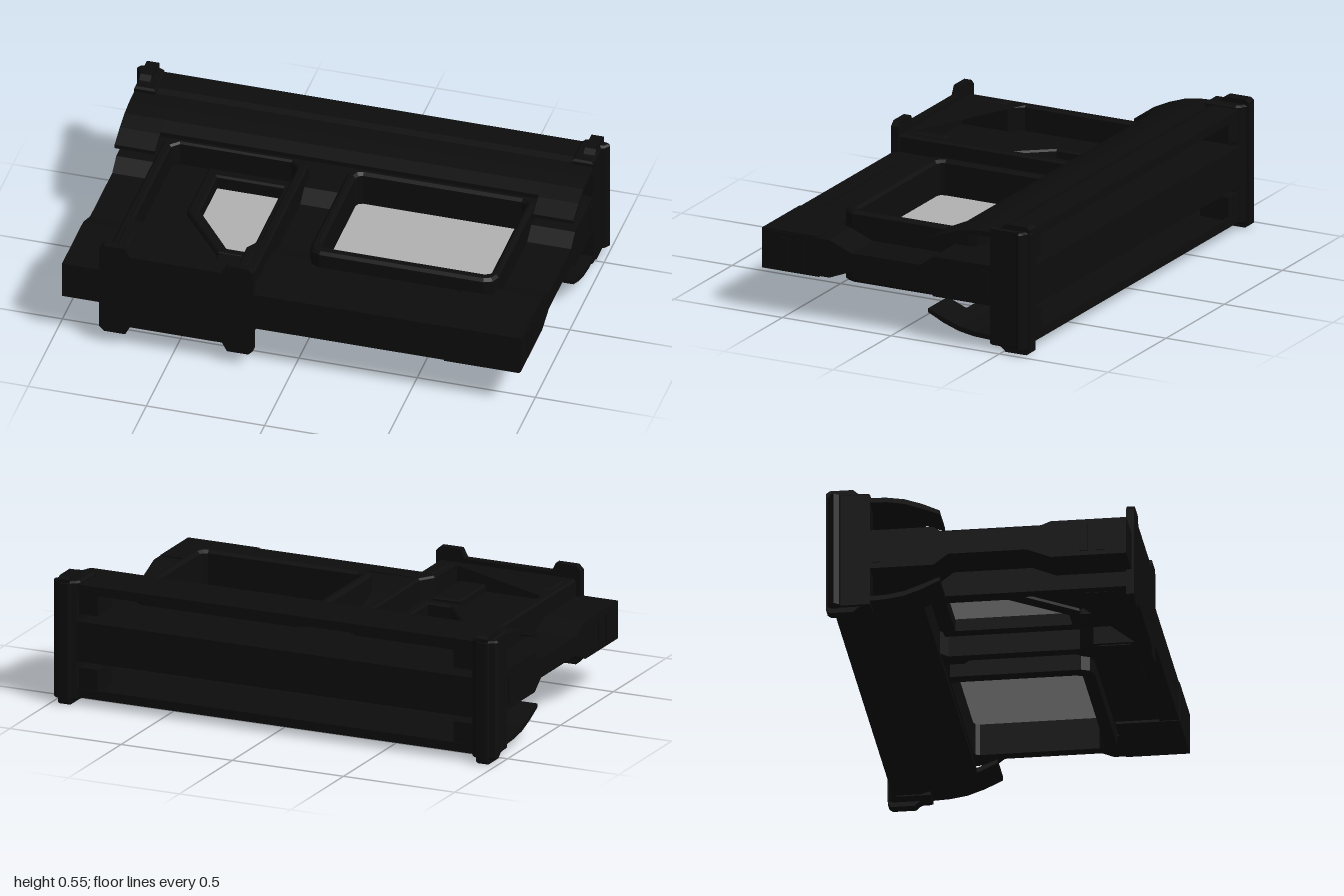
import * as THREE from 'three';

const C = 0.273; // mid-plane height: the model mirrors above and below it

export function createModel() {
  const black = new THREE.MeshStandardMaterial({ color: 0x0d0d0d });
  black.name = 'black';
  const grey = new THREE.MeshStandardMaterial({ color: 0xb2b2b2 });
  grey.name = 'glass grey';

  const root = new THREE.Group();
  root.name = 'wallModule';

  const add = (name, geo, mat = black, parent = root) => {
    const m = new THREE.Mesh(geo, mat);
    m.name = name;
    parent.add(m);
    return m;
  };
  const toShape = (pts) => new THREE.Shape(pts.map((p) => new THREE.Vector2(p[0], p[1])));
  const rect = (x0, x1, z0, z1, c = 0) => c
    ? [[x0 + c, z0], [x1 - c, z0], [x1 - c * 0.3, z0 + c * 0.3], [x1, z0 + c], [x1, z1 - c], [x1 - c * 0.3, z1 - c * 0.3],
      [x1 - c, z1], [x0 + c, z1], [x0 + c * 0.3, z1 - c * 0.3], [x0, z1 - c], [x0, z0 + c], [x0 + c * 0.3, z0 + c * 0.3]]
    : [[x0, z0], [x1, z0], [x1, z1], [x0, z1]];

  // Plan outline (x, z) raised equally above and below the mid-plane
  const slab = (name, pts, half, holes = [], bevel = 0, mat = black) => {
    const s = toShape(pts);
    holes.forEach((h) => s.holes.push(toShape(h)));
    const g = new THREE.ExtrudeGeometry(s, {
      depth: 2 * (half - bevel), bevelEnabled: bevel > 0, bevelSize: bevel,
      bevelThickness: bevel, bevelOffset: -bevel, bevelSegments: 1,
    });
    g.translate(0, 0, -(half - bevel));
    g.rotateX(Math.PI / 2);
    g.translate(0, C, 0);
    return add(name, g, mat);
  };

  // Section outline (z, y) run along x
  const run = (name, pts, x0, x1, parent = root) => {
    const g = new THREE.ExtrudeGeometry(toShape(pts), { depth: x1 - x0, bevelEnabled: false });
    g.rotateY(-Math.PI / 2);
    g.translate(x1, 0, 0);
    return add(name, g, black, parent);
  };

  const box = (name, x0, x1, y0, y1, z0, z1, parent = root) => {
    const g = new THREE.BoxGeometry(x1 - x0, y1 - y0, z1 - z0);
    g.translate((x0 + x1) / 2, (y0 + y1) / 2, (z0 + z1) / 2);
    return add(name, g, black, parent);
  };

  // Wall: thick sill and head, thinner in the middle
  const half = [[0.61, 0.08], [0.3, 0.08], [0.2, 0.04], [-0.12, 0.04], [-0.18, 0.085], [-0.6, 0.085]];
  const wall = [...half.map(([z, h]) => [z, C + h]), ...half.map(([z, h]) => [z, C - h]).reverse()];
  run('wallEndRight', wall, -0.97, -0.78);
  run('wallPier', wall, -0.18, 0.01);
  run('wallEndLeft', wall, 0.77, 0.97);
  slab('wallHead', rect(-0.79, 0.78, -0.6, -0.27), 0.085);
  slab('sillPanel', rect(0, 0.635, 0.33, 0.525), 0.08);
  slab('sillRail', rect(-0.17, 0.645, 0.53, 0.61), 0.083);
  slab('sillCore', rect(0, 0.78, 0.32, 0.605), 0.074);
  slab('sillBlock', rect(0.645, 0.965, 0.35, 0.612), 0.086);

  // Window
  const pane = rect(0.03, 0.75, -0.245, 0.295, 0.025);
  slab('windowFrame', rect(-0.01, 0.785, -0.29, 0.345, 0.05), 0.153, [pane], 0.012);
  slab('windowGlass', rect(0.02, 0.76, -0.255, 0.305), 0.004, [], 0, grey);

  // Door surround with a narrower lower opening
  slab('doorSurround', [
    [-0.79, 0.6], [-0.79, -0.25], [-0.75, -0.29], [-0.22, -0.29], [-0.175, -0.25], [-0.175, 0.6],
  ], 0.153, [[
    [-0.71, 0.59], [-0.71, 0.38], [-0.75, 0.32], [-0.75, -0.22], [-0.72, -0.25],
    [-0.25, -0.25], [-0.215, -0.22], [-0.215, 0.32], [-0.255, 0.38], [-0.255, 0.59],
  ]], 0.008);

  // Door leaf, glazing ring and glass
  const doorPane = [[-0.545, -0.185], [-0.265, -0.185], [-0.265, 0.295], [-0.365, 0.295], [-0.545, 0.065]];
  slab('doorLeaf', rect(-0.76, -0.2, -0.26, 0.595), 0.045, [doorPane]);
  slab('doorGlazingRing', [
    [-0.595, -0.235], [-0.225, -0.235], [-0.225, 0.34], [-0.39, 0.34], [-0.595, 0.085],
  ], 0.065, [doorPane], 0.008);
  slab('doorGlass', [
    [-0.555, -0.195], [-0.255, -0.195], [-0.255, 0.305], [-0.37, 0.305], [-0.555, 0.07],
  ], 0.004, [], 0, grey);
  slab('doorLowerPanel', rect(-0.385, -0.262, 0.345, 0.595), 0.075, [], 0.006);
  slab('grabHandleOuter', rect(-0.765, -0.72, 0.4, 0.53), 0.16, [], 0.006);
  slab('grabHandleInner', rect(-0.25, -0.212, 0.4, 0.53), 0.16, [], 0.006);

  // Threshold plate with two raised feet on each face
  const edge = [[-0.81, 0.19], [-0.79, 0.21], [-0.7, 0.21], [-0.68, 0.172], [-0.29, 0.172], [-0.27, 0.21], [-0.18, 0.21], [-0.16, 0.19]];
  const sill = new THREE.ExtrudeGeometry(
    toShape([...edge.map(([x, h]) => [x, C + h]), ...edge.map(([x, h]) => [x, C - h]).reverse()]),
    { depth: 0.033, bevelEnabled: false });
  sill.translate(0, 0, 0.588);
  add('threshold', sill);

  // Curved cover over the head, one on each face
  const cover = (parent) => {
    run('cover', [
      [-0.24, 0.448], [-0.24, 0.468], [-0.3, 0.489], [-0.37, 0.5], [-0.45, 0.504], [-0.48, 0.513], [-0.595, 0.513],
      [-0.595, 0.475], [-0.58, 0.475], [-0.575, 0.487], [-0.45, 0.483], [-0.37, 0.48], [-0.3, 0.468],
    ], -0.9, 0.9, parent);
    for (const s of [-1, 1]) {
      const x0 = s > 0 ? 0.8 : -0.97;
      run('coverFlap', [
        [-0.155, 0.413], [-0.155, 0.43], [-0.23, 0.465], [-0.3, 0.489], [-0.37, 0.5], [-0.45, 0.504],
        [-0.45, 0.483], [-0.37, 0.48], [-0.3, 0.468], [-0.23, 0.443],
      ], x0, x0 + 0.17, parent);
      const w0 = s > 0 ? 0.8 : -0.89;
      box('postWeb', w0, w0 + 0.09, 0.387, 0.5, -0.59, -0.46, parent);
    }
  };
  const upper = new THREE.Group();
  upper.name = 'upperCover';
  cover(upper);
  const lower = new THREE.Group();
  lower.name = 'lowerCover';
  cover(lower);
  lower.scale.y = -1;
  lower.position.y = 2 * C;
  root.add(upper, lower);

  // End posts and small side studs
  const post = [
    [0.88, -0.44], [0.88, -0.58], [0.89, -0.6], [0.912, -0.607], [0.92, -0.622], [0.96, -0.622],
    [0.968, -0.607], [0.992, -0.6], [1, -0.585], [0.985, -0.565], [0.97, -0.56], [0.97, -0.44],
  ];
  const bump = [[-0.455, C], [-0.455, 0.52], [-0.49, 0.528], [-0.51, 0.546], [-0.605, 0.546], [-0.62, 0.535], [-0.62, C]];
  const bumpLow = bump.slice(1, -1).map(([z, y]) => [z, 2 * C - y]).reverse();
  for (const s of [-1, 1]) {
    const side = s > 0 ? 'Left' : 'Right';
    slab('post' + side, post.map(([x, z]) => [s * x, z]), 0.253, [], 0.008);
    const x = s * 0.94;
    run('postRib' + side, [...bump.slice(1, -1), ...bumpLow], x - 0.024, x + 0.024);
    for (const z of [-0.415, 0.435, 0.505]) {
      box('stud' + side, s * 0.967 - 0.008, s * 0.967 + 0.008, C - 0.06, C + 0.06, z - 0.018, z + 0.018);
    }
  }
  return root;
}
